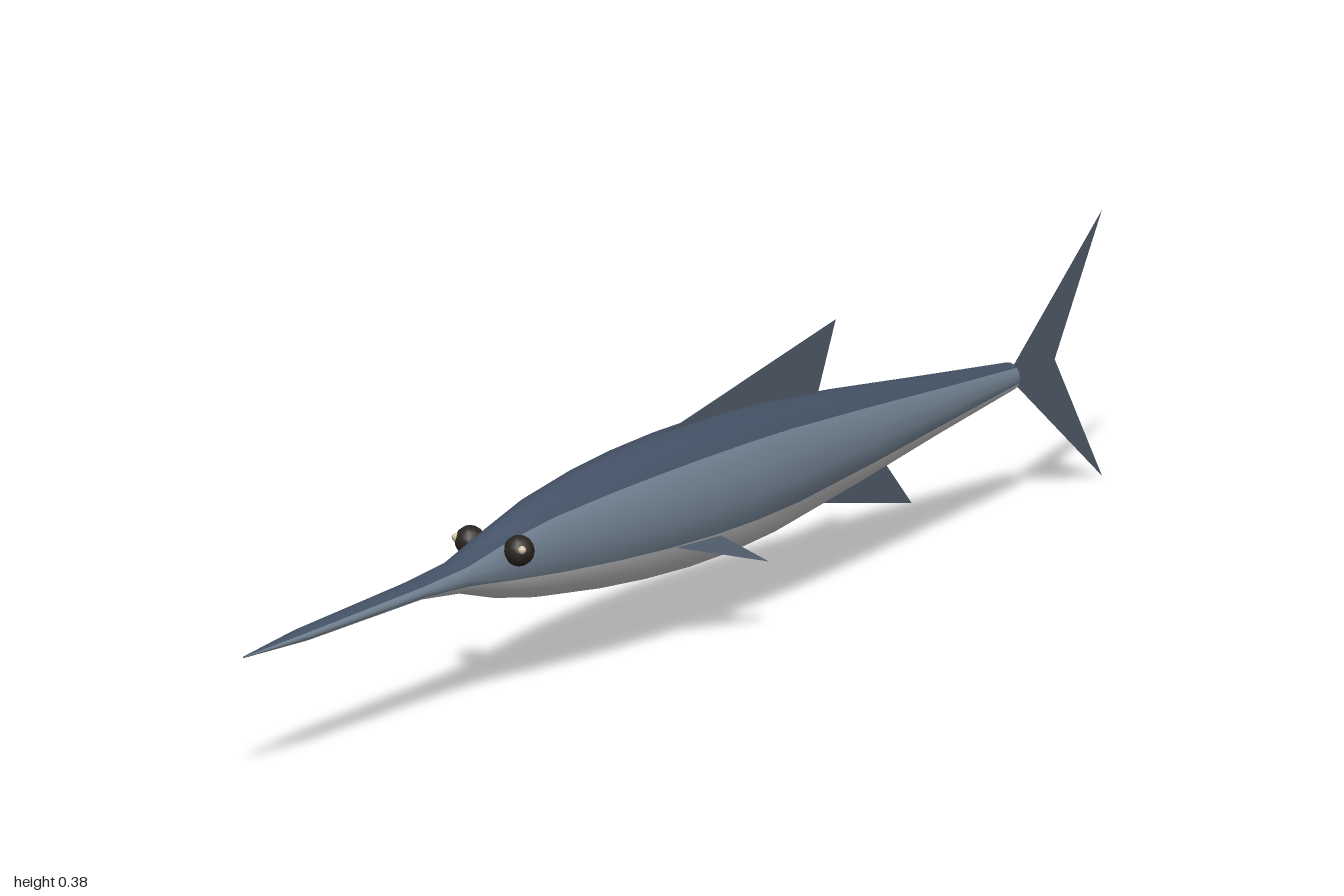
import * as THREE from 'three';

const SIDES = 16;
// body stations from bill tip to tail: z, half width, bottom y, top y
const STATIONS = [
  [0.995, 0.001, 0.189, 0.191],
  [0.86, 0.016, 0.184, 0.2],
  [0.6, 0.024, 0.185, 0.209],
  [0.5, 0.028, 0.172, 0.219],
  [0.41, 0.038, 0.145, 0.247],
  [0.32, 0.053, 0.126, 0.268],
  [0.2, 0.07, 0.11, 0.283],
  [0.1, 0.079, 0.101, 0.29],
  [0, 0.083, 0.096, 0.293],
  [-0.1, 0.083, 0.096, 0.292],
  [-0.2, 0.079, 0.102, 0.287],
  [-0.4, 0.062, 0.127, 0.265],
  [-0.6, 0.04, 0.154, 0.239],
  [-0.785, 0.018, 0.176, 0.216],
];

const mat = (color, side = THREE.FrontSide) => new THREE.MeshStandardMaterial({ color, side });

function addMesh(parent, name, geometry, material) {
  const mesh = new THREE.Mesh(geometry, material);
  mesh.name = name;
  parent.add(mesh);
  return mesh;
}

// flat fin from triangles of [x, y, z] corners
function finGeometry(corners) {
  const g = new THREE.BufferGeometry();
  g.setAttribute('position', new THREE.Float32BufferAttribute(corners.flat(), 3));
  g.computeVertexNormals();
  return g;
}

function buildBody() {
  const body = new THREE.Group();
  body.name = 'body';
  const positions = [];
  for (const [z, rx, bottom, top] of STATIONS) {
    for (let j = 0; j < SIDES; j++) {
      const a = (j / SIDES) * Math.PI * 2;
      positions.push(rx * Math.cos(a), (top + bottom) / 2 + ((top - bottom) / 2) * Math.sin(a), z);
    }
  }

  // strips sorted into dark back, paler flanks and light belly
  const bands = { back: [], flanks: [], belly: [] };
  for (let j = 0; j < SIDES; j++) {
    const band = j >= 2 && j < 6 ? bands.back : j >= 9 && j < 15 ? bands.belly : bands.flanks;
    const k = (j + 1) % SIDES;
    for (let i = 0; i < STATIONS.length - 1; i++) {
      const p = i * SIDES, q = p + SIDES;
      band.push(p + j, q + j, p + k, q + j, q + k, p + k);
    }
  }

  // normals are shared across the bands so the body stays smooth
  const skin = new THREE.BufferGeometry();
  skin.setAttribute('position', new THREE.Float32BufferAttribute(positions, 3));
  skin.setIndex(Object.values(bands).flat());
  skin.computeVertexNormals();
  const colors = { back: 0x445266, flanks: 0x708090, belly: 0xd4d4d4 };
  for (const name in bands) {
    addMesh(body, name, skin.clone().setIndex(bands[name]), mat(colors[name]));
  }

  // flat end of the tail stalk
  const [z, rx, bottom, top] = STATIONS[STATIONS.length - 1];
  const cap = addMesh(body, 'tailStalkEnd', new THREE.CircleGeometry(1, SIDES), mat(colors.flanks));
  cap.scale.set(rx, (top - bottom) / 2, 1);
  cap.rotation.y = Math.PI;
  cap.position.set(0, (top + bottom) / 2, z);
  return body;
}

export function createModel() {
  const model = new THREE.Group();
  model.name = 'billfish';
  model.add(buildBody());

  const finMat = mat(0x515d6d, THREE.DoubleSide);
  const eyeMat = mat(0x2a2521);
  const glintMat = mat(0xd8c8a8);

  // upright fins on the centre line
  const root = [0, 0.197, -0.78], notch = [0, 0.197, -0.89];
  addMesh(model, 'tailFin', finGeometry([
    root, notch, [0, 0.387, -1],
    root, [0, 0.005, -1], notch,
  ]), finMat);
  addMesh(model, 'dorsalFin', finGeometry([[0, 0.29, 0.03], [0, 0.27, -0.34], [0, 0.368, -0.382]]), finMat);
  addMesh(model, 'analFin', finGeometry([[0, 0.12, -0.31], [0, 0.065, -0.558], [0, 0.143, -0.49]]), finMat);

  // paired fins and eyes
  for (const [side, s] of [['left', 1], ['right', -1]]) {
    addMesh(model, side + 'PectoralFin', finGeometry([
      [s * 0.075, 0.158, 0.09], [s * 0.118, 0.11, -0.068], [s * 0.075, 0.152, -0.015],
    ]), finMat);

    const eye = addMesh(model, side + 'Eye', new THREE.SphereGeometry(0.022, 12, 8), eyeMat);
    eye.position.set(s * 0.042, 0.22, 0.41);
    const glint = addMesh(model, side + 'EyeGlint', new THREE.SphereGeometry(0.006, 8, 6), glintMat);
    glint.position.set(s * 0.057, 0.226, 0.423);
  }
  return model;
}
